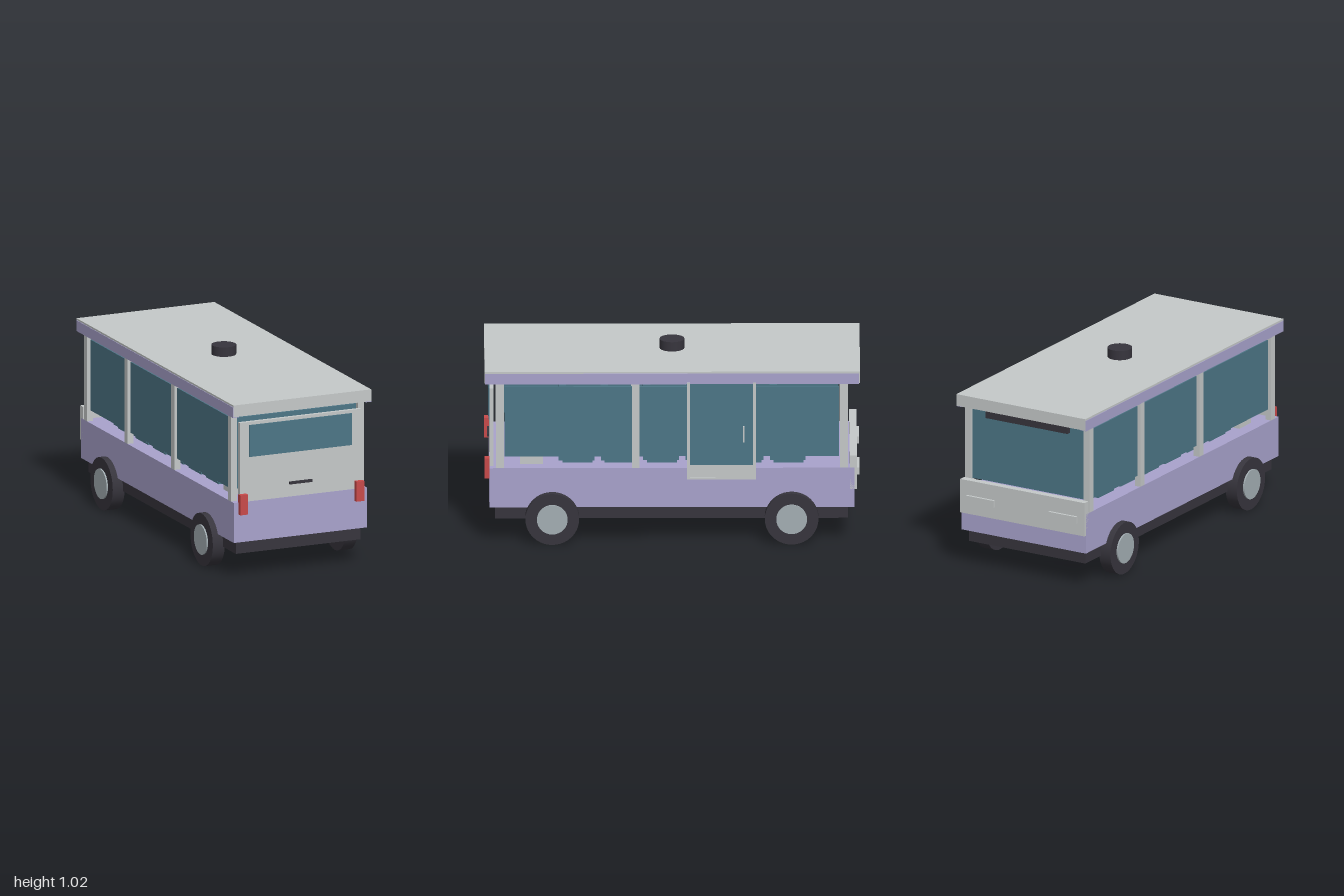
import * as THREE from 'three';

const mat = (name, color, side = THREE.FrontSide) => {
  const m = new THREE.MeshStandardMaterial({ color, side });
  m.name = name;
  return m;
};

export function createModel() {
  const root = new THREE.Group();
  root.name = 'minibus';
  const grey = mat('light grey', 0xc5c9c9);
  const lavender = mat('lavender', 0xa9a3cd);
  const glass = mat('teal glass', 0x4d7687);
  const dark = mat('charcoal', 0x37353d);
  const red = mat('red', 0xc94a4a);
  const hub = mat('hub silver', 0xa4afb4);

  // Box given by its limits on each axis
  const box = (name, m, x0, x1, y0, y1, z0, z1) => {
    const mesh = new THREE.Mesh(new THREE.BoxGeometry(x1 - x0, y1 - y0, z1 - z0), m);
    mesh.position.set((x0 + x1) / 2, (y0 + y1) / 2, (z0 + z1) / 2);
    mesh.name = name;
    root.add(mesh);
    return mesh;
  };
  // The same box on both sides of the bus
  const pair = (name, m, x0, x1, ...yz) => {
    box(name + 'Left', m, x0, x1, ...yz);
    box(name + 'Right', m, -x1, -x0, ...yz);
  };

  // Chassis, lower body and roof
  box('chassis', dark, -0.365, 0.365, 0.13, 0.2, -0.935, 0.945);
  box('lowerBody', lavender, -0.39, 0.39, 0.2, 0.42, -0.97, 0.975);
  box('roof', grey, -0.404, 0.404, 0.9, 0.965, -1, 1);
  pair('roofTrim', lavender, 0.372, 0.407, 0.896, 0.955, -0.995, 0.998);

  // Roof vent
  const vent = new THREE.Mesh(new THREE.CylinderGeometry(0.066, 0.066, 0.052, 32), dark);
  vent.position.y = 0.991;
  vent.name = 'roofVent';
  root.add(vent);

  // Pillars
  for (const z of [0.918, 0.195, -0.4, -0.915])
    pair('pillar', grey, 0.355, 0.39, 0.42, 0.9, z - 0.021, z + 0.021);

  // Glazing, with a gap above and below
  pair('sideWindow', glass, 0.36, 0.373, 0.48, 0.87, -0.888, 0.893);
  box('windscreen', glass, -0.356, 0.356, 0.48, 0.872, -0.915, -0.9);
  box('rearGlass', glass, -0.356, 0.356, 0.48, 0.872, 0.9, 0.915);

  // Seats, facing -z
  for (let i = 0; i < 6; i++) {
    const z = 0.51 - i * 0.225;
    pair('seatBase', glass, 0.12, 0.3, 0.42, 0.445, z - 0.085, z + 0.075);
    pair('seatCushion', glass, 0.1, 0.32, 0.44, 0.5, z - 0.095, z + 0.095);
    pair('seatBack', glass, 0.1, 0.32, 0.5, 0.72, z + 0.055, z + 0.095);
  }
  box('rearLocker', grey, -0.32, 0.32, 0.42, 0.5, 0.69, 0.81);

  // Tailgate with window, handle and lights
  box('tailgate', grey, -0.355, 0.355, 0.42, 0.857, 0.953, 0.974);
  box('tailgateWindow', glass, -0.3, 0.3, 0.665, 0.84, 0.973, 0.98);
  box('tailgateHandle', dark, -0.066, 0.066, 0.489, 0.503, 0.972, 0.985);
  pair('tailLight', red, 0.318, 0.364, 0.355, 0.465, 0.974, 1);

  // Nose panel, headlights and destination board
  box('nosePanel', grey, -0.39, 0.39, 0.3, 0.487, -0.984, -0.945);
  pair('headlight', grey, 0.172, 0.347, 0.366, 0.405, -0.998, -0.982);
  box('destinationBoard', dark, -0.256, 0.256, 0.84, 0.9, -0.942, -0.912);

  // Sliding door on the left side
  box('doorGlass', glass, 0.388, 0.402, 0.44, 0.902, -0.43, -0.093);
  box('doorLowerPanel', grey, 0.385, 0.403, 0.37, 0.44, -0.43, -0.093);
  box('doorSill', grey, 0.385, 0.41, 0.362, 0.374, -0.446, -0.077);
  for (const z of [-0.438, -0.085])
    box('doorFrame', grey, 0.385, 0.41, 0.362, 0.905, z - 0.008, z + 0.008);
  box('doorHandle', grey, 0.409, 0.418, 0.572, 0.66, -0.384, -0.376);
  for (const y of [0.576, 0.656])
    box('handleMount', grey, 0.4, 0.412, y - 0.004, y + 0.004, -0.384, -0.376);

  // Wheels
  const tyreGeo = new THREE.CylinderGeometry(0.143, 0.143, 0.07, 40).rotateZ(Math.PI / 2);
  const hubGeo = new THREE.CylinderGeometry(0.082, 0.082, 0.078, 32).rotateZ(Math.PI / 2);
  for (const side of [1, -1])
    for (const z of [0.64, -0.635]) {
      const wheel = new THREE.Group();
      wheel.name = 'wheel';
      const tyre = new THREE.Mesh(tyreGeo, dark);
      tyre.name = 'tyre';
      const cap = new THREE.Mesh(hubGeo, hub);
      cap.name = 'hubCap';
      cap.position.x = side * 0.004;
      wheel.add(tyre, cap);
      wheel.position.set(side * 0.39, 0.143, z);
      root.add(wheel);
    }
  return root;
}
